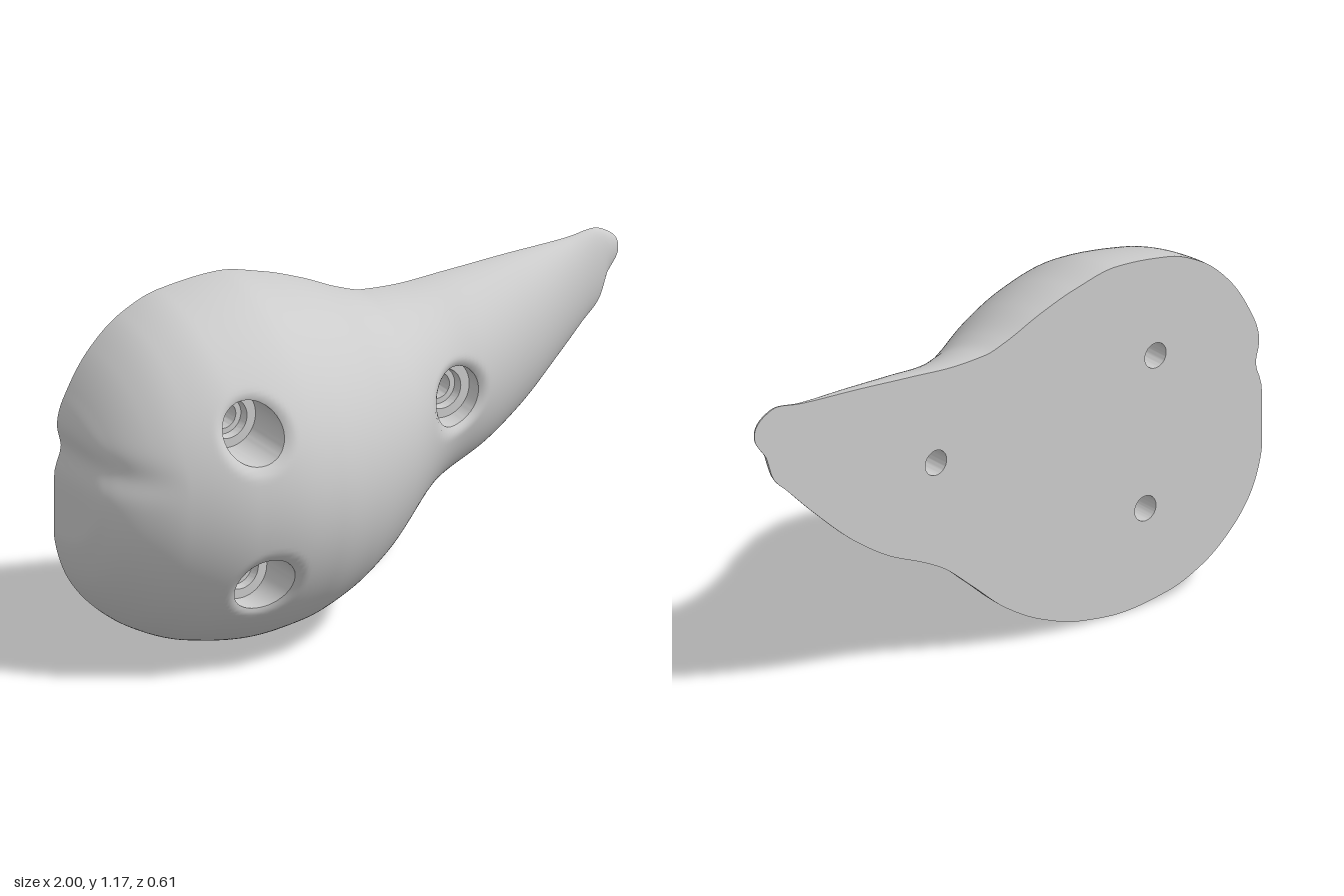
import * as THREE from 'three';
import { toCreasedNormals } from 'three/addons/utils/BufferGeometryUtils.js';

const BACK = -0.305;
const RIM = 0.095, BORE = 0.042, LIP = 0.035;
const HOLES = [
  { x: -0.58, y: 0.835, floor: 0.05 },
  { x: -0.54, y: 0.33, floor: 0.05 },
  { x: 0.285, y: 0.71, floor: -0.14 },
];

// Smooth monotone curve through [x, value] pairs, rounded at both ends
function curve(points) {
  const p = points.map(([x, v]) => [Math.acos(-x), v]);
  const slope = (i) => (p[i + 1][1] - p[i][1]) / (p[i + 1][0] - p[i][0]);
  const last = p.length - 1;
  const tan = p.map((_, i) => {
    if (i === 0) return slope(0);
    if (i === last) return slope(last - 1);
    const a = slope(i - 1), b = slope(i);
    return a * b > 0 ? (2 * a * b) / (a + b) : 0;
  });
  return (x) => {
    const a = Math.acos(-THREE.MathUtils.clamp(x, -1, 1));
    let i = 0;
    while (i < last - 1 && a > p[i + 1][0]) i++;
    const w = p[i + 1][0] - p[i][0], t = (a - p[i][0]) / w, s = 1 - t;
    return s * s * (1 + 2 * t) * p[i][1] + t * t * (3 - 2 * t) * p[i + 1][1]
      + w * (s * s * t * tan[i] - t * t * s * tan[i + 1]);
  };
}

// Upper outline, lower outline and ridge depth along the length
const top = curve([[-1, 0.55], [-0.99, 0.78], [-0.95, 0.89], [-0.87, 1.01], [-0.765, 1.1],
  [-0.63, 1.155], [-0.42, 1.177], [-0.26, 1.145], [-0.125, 1.1], [0.01, 1.043], [0.09, 1.02],
  [0.2, 1.015], [0.385, 1.027], [0.6, 1.043], [0.815, 1.056], [0.91, 1.07], [0.965, 1.05], [1, 1]]);
const bottom = curve([[-1, 0.43], [-0.995, 0.385], [-0.95, 0.26], [-0.87, 0.16], [-0.765, 0.08],
  [-0.63, 0.027], [-0.44, 0.003], [-0.28, 0.02], [-0.125, 0.07], [0.01, 0.145], [0.145, 0.257],
  [0.25, 0.342], [0.33, 0.385], [0.465, 0.444], [0.6, 0.53], [0.76, 0.668], [0.865, 0.77],
  [0.925, 0.83], [0.957, 0.915], [1, 0.99]]);
const ridge = curve([[-1, 0], [-0.998, 0.22], [-0.98, 0.305], [-0.9, 0.425], [-0.8, 0.505],
  [-0.6, 0.59], [-0.45, 0.61], [-0.3, 0.59], [-0.15, 0.535], [0, 0.45], [0.1, 0.385], [0.2, 0.315],
  [0.3, 0.265], [0.4, 0.238], [0.6, 0.165], [0.8, 0.08], [0.9, 0.045], [1, 0]]);

// Front surface: half-elliptic sections, softened around each hole
function height(x, y) {
  const yt = top(x), yb = bottom(x);
  const t = (2 * y - yt - yb) / (yt - yb);
  let z = BACK + ridge(x) * Math.sqrt(Math.max(0, 1 - t * t));
  for (const h of HOLES) {
    const k = (Math.hypot(x - h.x, y - h.y) - RIM) / LIP;
    if (k < 1) z -= 0.02 * (1 - Math.max(k, 0)) ** 2;
  }
  return z;
}

// Shallow thumb notch in the round end
function notch(x, y) {
  const fade = THREE.MathUtils.clamp((-0.8 - x) / 0.2, 0, 1);
  return x + 0.022 * fade * Math.exp(-(((y - 0.7) / 0.05) ** 2));
}

function bodyGeometry(nx = 220, ny = 110) {
  const pos = [], inside = [], index = [];
  for (let i = 0; i <= nx; i++) {
    const sx = -Math.cos((Math.PI * i) / nx);
    const yt = top(sx), yb = bottom(sx);
    for (let j = 0; j <= ny; j++) {
      let x = sx, y = (yt + yb) / 2 + ((yt - yb) / 2) * Math.cos((Math.PI * j) / ny), cut = false;
      // points within a hole slide out to its rim
      for (const h of HOLES) {
        const r = Math.hypot(x - h.x, y - h.y);
        if (r < RIM) {
          cut = true;
          x = h.x + ((x - h.x) * RIM) / Math.max(r, 1e-6);
          y = h.y + ((y - h.y) * RIM) / Math.max(r, 1e-6);
        }
      }
      inside.push(cut);
      pos.push(notch(x, y), y, height(x, y));
    }
  }
  const tri = (a, b, c) => { if (!(inside[a] && inside[b] && inside[c])) index.push(a, b, c); };
  for (let i = 0; i < nx; i++) {
    for (let j = 0; j < ny; j++) {
      const a = i * (ny + 1) + j, b = a + ny + 1;
      tri(a, a + 1, b);
      tri(b, a + 1, b + 1);
    }
  }
  const g = new THREE.BufferGeometry();
  g.setAttribute('position', new THREE.Float32BufferAttribute(pos, 3));
  g.setIndex(index);
  g.computeVertexNormals();
  return g;
}

// Counterbored bolt hole whose upper edge follows the front surface
function boltHoleGeometry({ x, y, floor }) {
  const profile = [[RIM, 1], [RIM, floor], [0.065, floor], [0.06, floor - 0.03],
    [BORE, floor - 0.03], [BORE, BACK]].map(([r, z]) => new THREE.Vector2(r, z));
  const g = new THREE.LatheGeometry(profile, 64);
  g.rotateX(Math.PI / 2);
  g.translate(x, y, 0);
  const p = g.attributes.position;
  for (let i = 0; i < p.count; i++) {
    if (p.getZ(i) > 0.9) p.setZ(i, height(p.getX(i), p.getY(i)));
  }
  return toCreasedNormals(g, 0.6);
}

// Flat back with through holes
function backGeometry(n = 220) {
  const upper = [], lower = [];
  for (let i = 0; i <= n; i++) {
    const x = -Math.cos((Math.PI * i) / n), yt = top(x), yb = bottom(x);
    upper.push(new THREE.Vector2(-notch(x, yt), yt));
    lower.push(new THREE.Vector2(-notch(x, yb), yb));
  }
  const shape = new THREE.Shape([...upper, ...lower.reverse()]);
  for (const h of HOLES) {
    shape.holes.push(new THREE.Path().absarc(-h.x, h.y, BORE, 0, Math.PI * 2, true));
  }
  const g = new THREE.ShapeGeometry(shape, 32);
  g.rotateY(Math.PI);
  g.translate(0, 0, BACK);
  return g;
}

export function createModel() {
  const group = new THREE.Group();
  group.name = 'climbingHold';
  const material = new THREE.MeshStandardMaterial({ color: 0xcccccc });
  const add = (name, geometry) => {
    const mesh = new THREE.Mesh(geometry, material);
    mesh.name = name;
    group.add(mesh);
  };
  add('body', bodyGeometry());
  add('backFace', backGeometry());
  HOLES.forEach((h, i) => add(`boltHole${i + 1}`, boltHoleGeometry(h)));
  return group;
}
